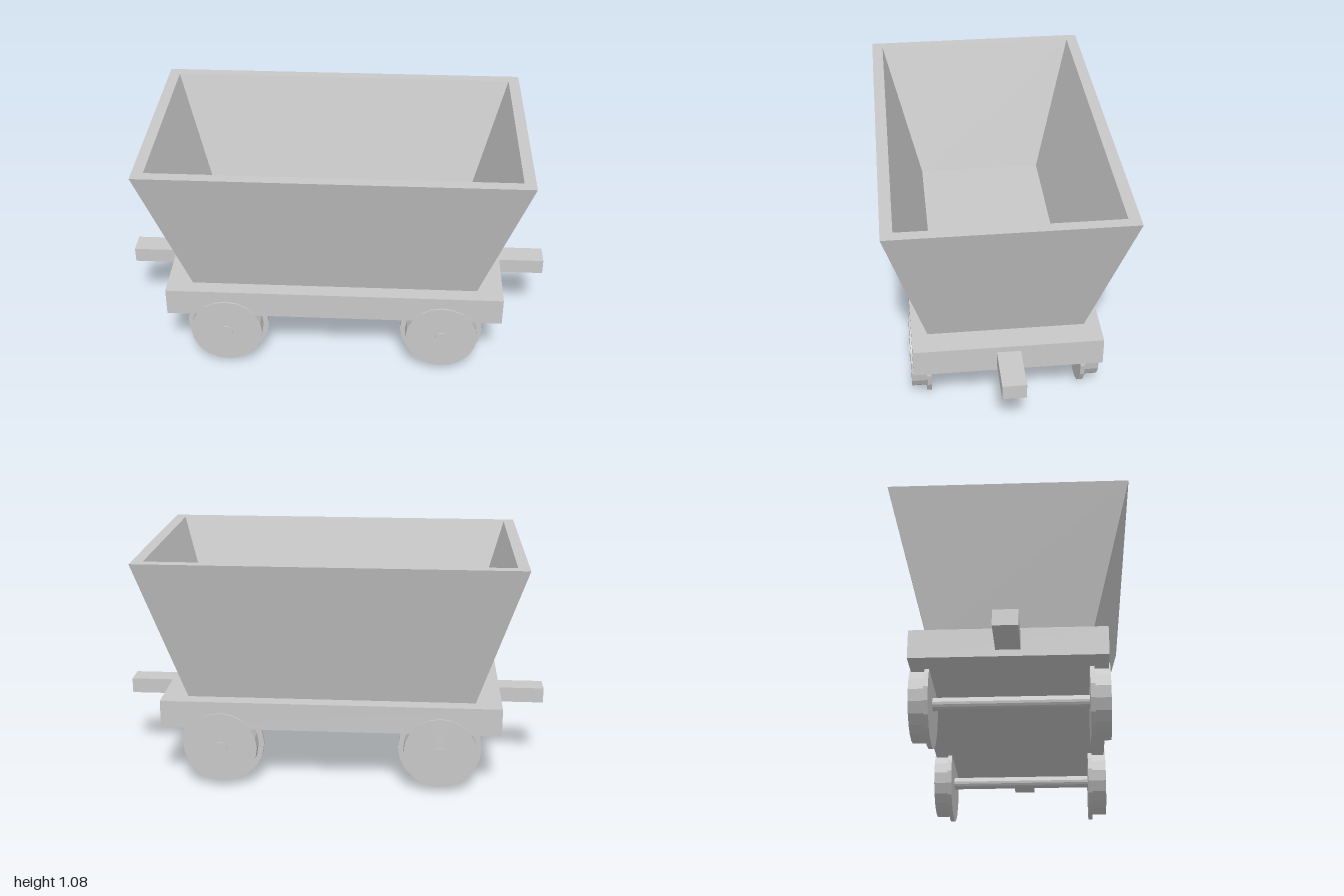
import * as THREE from 'three';

const grey = new THREE.MeshStandardMaterial({ color: 0xc8c8c8, flatShading: true });
grey.name = 'plain grey';

function add(parent, name, geometry, x = 0, y = 0, z = 0) {
  const mesh = new THREE.Mesh(geometry, grey);
  mesh.name = name;
  mesh.position.set(x, y, z);
  parent.add(mesh);
  return mesh;
}

// Cylinder lying along z
function disc(radius, depth, sides) {
  return new THREE.CylinderGeometry(radius, radius, depth, sides).rotateX(Math.PI / 2);
}

// Skin over a run of rectangular rings [halfX, y, halfZ], closed at both ends
function rectangularLoft(rings) {
  const corners = rings.map(([x, y, z]) => [[x, y, z], [x, y, -z], [-x, y, -z], [-x, y, z]]);
  const positions = [];
  const quad = (a, b, c, d) => positions.push(...a, ...b, ...c, ...a, ...c, ...d);
  for (let r = 0; r < corners.length - 1; r++) {
    for (let i = 0; i < 4; i++) {
      const j = (i + 1) % 4;
      quad(corners[r][i], corners[r][j], corners[r + 1][j], corners[r + 1][i]);
    }
  }
  quad(...corners[0].slice().reverse());
  quad(...corners[corners.length - 1]);
  const geometry = new THREE.BufferGeometry();
  geometry.setAttribute('position', new THREE.Float32BufferAttribute(positions, 3));
  geometry.computeVertexNormals();
  return geometry;
}

export function createModel() {
  const cart = new THREE.Group();
  cart.name = 'mineCart';

  // Open hopper: outer bottom, outer rim, inner rim, inner floor
  add(cart, 'hopper', rectangularLoft([
    [0.663, 0.415, 0.35],
    [0.863, 1.085, 0.528],
    [0.812, 1.085, 0.476],
    [0.62, 0.445, 0.305],
  ]));

  // Chassis slab
  add(cart, 'chassis', new THREE.BoxGeometry(1.564, 0.13, 0.842), 0, 0.35, 0);

  for (const side of [1, -1]) {
    // Coupling bar at each end
    add(cart, 'coupler', new THREE.BoxGeometry(0.22, 0.072, 0.106), side * 0.89, 0.351, 0);

    // Axle with a pair of flanged wheels
    const wheelset = new THREE.Group();
    wheelset.name = 'wheelset';
    wheelset.position.set(side * 0.505, 0.194, 0);
    add(wheelset, 'axle', disc(0.029, 0.866, 16));
    for (const end of [1, -1]) {
      add(wheelset, 'wheelFlange', disc(0.193, 0.02, 20), 0, 0, end * 0.35);
      add(wheelset, 'wheelTread', disc(0.168, 0.068, 20), 0, 0, end * 0.394);
    }
    cart.add(wheelset);
  }
  return cart;
}
